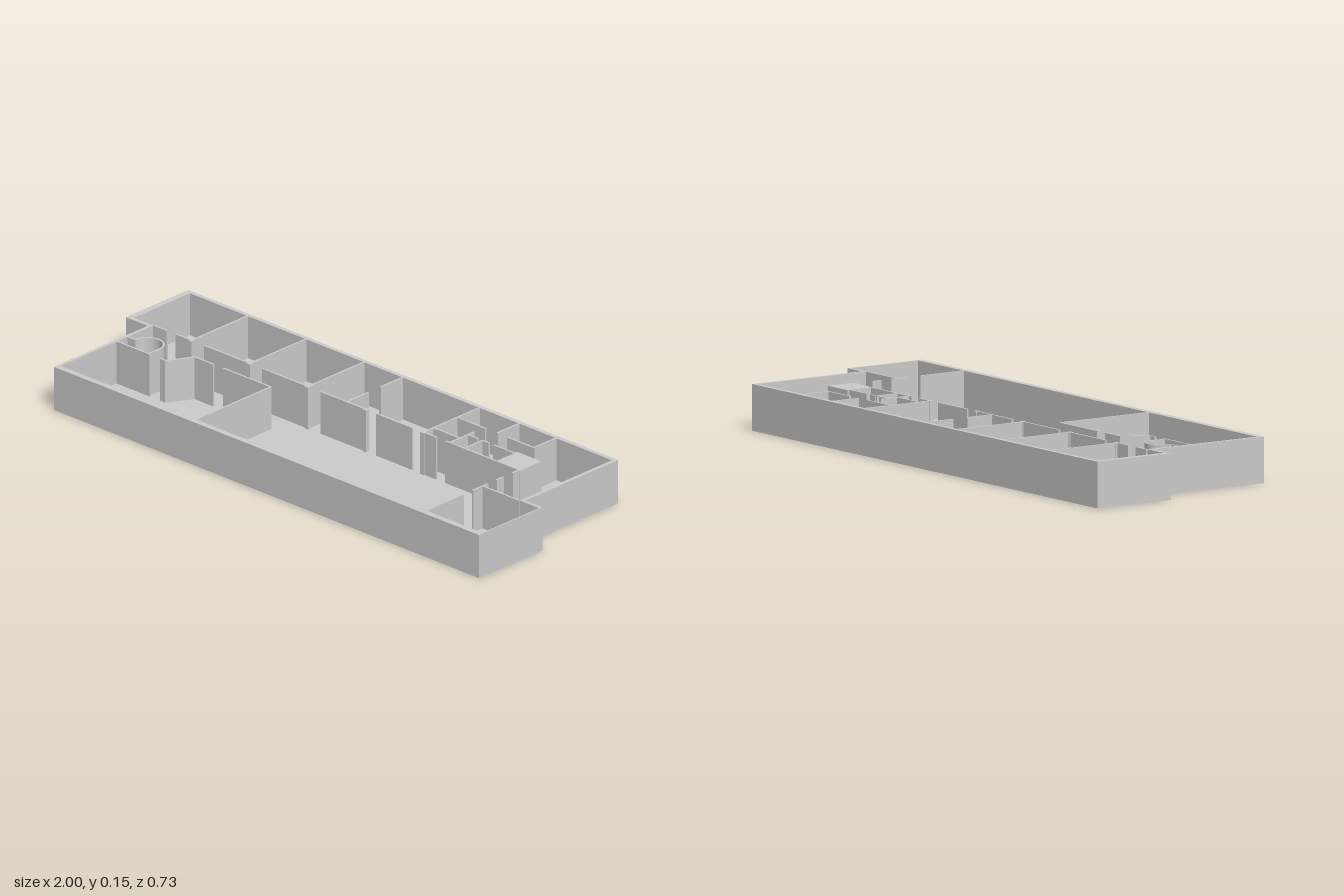
import * as THREE from 'three';

const HEIGHT = 0.153;
const FLOOR = 0.004;
const THICK = 0.007;
const mat = new THREE.MeshStandardMaterial({ color: 0xcccccc, flatShading: true });

// Footprint corners as [x, z]; the inner loop runs the opposite way round
const outer = [[-1, -0.368], [0.923, -0.368], [0.923, 0.068], [1, 0.068], [1, 0.366],
  [-0.902, 0.366], [-0.902, -0.075], [-1, -0.075]];
const inner = [[-0.978, -0.09], [-0.89, -0.09], [-0.89, 0.345], [0.995, 0.345],
  [0.995, 0.08], [0.909, 0.08], [0.909, -0.353], [-0.978, -0.353]];

const toPoints = (pts) => pts.map(([x, z]) => new THREE.Vector2(x, -z));

// Extrude a plan shape upwards from y0 to y1
function slab(name, shape, y0, y1) {
  const geo = new THREE.ExtrudeGeometry(shape, { depth: y1 - y0, bevelEnabled: false, curveSegments: 12 });
  geo.rotateX(-Math.PI / 2);
  geo.translate(0, y0, 0);
  const mesh = new THREE.Mesh(geo, mat);
  mesh.name = name;
  return mesh;
}

// Upright box standing on the floor, centred on x, z
function block(name, x, z, w, d) {
  const h = HEIGHT - FLOOR;
  const mesh = new THREE.Mesh(new THREE.BoxGeometry(w, h, d), mat);
  mesh.position.set(x, FLOOR + h / 2, z);
  mesh.name = name;
  return mesh;
}

// Straight thin wall between two plan points
function wall(name, x1, z1, x2, z2) {
  const mesh = block(name, (x1 + x2) / 2, (z1 + z2) / 2, Math.hypot(x2 - x1, z2 - z1), THICK);
  mesh.rotation.y = -Math.atan2(z2 - z1, x2 - x1);
  return mesh;
}

export function createModel() {
  const model = new THREE.Group();
  model.name = 'floorPlan';

  // Floor and outer walls
  model.add(slab('floor', new THREE.Shape(toPoints(outer)), 0, FLOOR));
  const ring = new THREE.Shape(toPoints(outer));
  ring.holes.push(new THREE.Path(toPoints(inner)));
  model.add(slab('outerWall', ring, FLOOR, HEIGHT));

  const addWalls = (name, list) => {
    const group = new THREE.Group();
    group.name = name;
    list.forEach((w) => group.add(wall(name + 'Panel', ...w)));
    model.add(group);
  };

  // Corridor wall, broken by doorways
  const corridorZ = -0.092;
  addWalls('corridorWall', [[-0.89, -0.83], [-0.79, -0.722], [-0.664, -0.461], [-0.403, -0.201],
    [-0.142, 0.059], [0.107, 0.268], [0.315, 0.375], [0.415, 0.642]]
    .map(([a, b]) => [a, corridorZ, b, corridorZ]));

  // Partitions between the back rooms
  addWalls('backPartition', [
    ...[-0.722, -0.461, -0.201, 0.315].map((x) => [x, -0.353, x, corridorZ]),
    [-0.028, -0.353, -0.028, -0.248], [-0.028, -0.193, -0.028, corridorZ],
  ]);

  // Posts along the corridor
  [-0.722, -0.461, -0.201, 0.058, 0.316].forEach((x) =>
    model.add(block('corridorPost', x, corridorZ, 0.016, 0.016)));

  // Small service rooms
  addWalls('serviceRoomWall', [
    [0.315, -0.251, 0.443, -0.251], [0.54, -0.251, 0.661, -0.251],
    [0.493, -0.353, 0.493, -0.251], [0.658, -0.353, 0.658, -0.251],
    [0.433, -0.207, 0.433, corridorZ], [0.315, -0.139, 0.433, -0.139],
    [0.433, -0.177, 0.478, -0.177], [0.498, -0.177, 0.528, -0.177], [0.548, -0.177, 0.643, -0.177],
    [0.498, -0.177, 0.498, corridorZ],
  ]);
  model.add(block('solidCore', 0.696, -0.139, 0.108, 0.1));

  // End wall and the room behind it
  addWalls('endWall', [
    ...[[-0.092, -0.06], [-0.018, 0.017], [0.057, 0.127], [0.172, 0.345]].map(([a, b]) => [0.743, a, 0.743, b]),
    [0.743, 0.08, 0.909, 0.08],
  ]);

  // Front room with an angled corner
  addWalls('frontRoomWall', [
    [-0.89, 0.08, -0.743, 0.08], [-0.697, 0.08, -0.673, 0.08], [-0.673, 0.08, -0.625, -0.006],
    [-0.625, -0.006, -0.54, -0.006], [-0.497, -0.006, -0.286, -0.006], [-0.286, -0.006, -0.286, 0.345],
  ]);

  // Rounded closet
  const cx = -0.804, cz = 0.03, r = 0.057;
  const arc = new THREE.Shape();
  arc.absarc(cx, -cz, r, 0, Math.PI, false);
  arc.absarc(cx, -cz, r - THICK, Math.PI, 0, true);
  arc.closePath();
  model.add(slab('curvedClosetWall', arc, FLOOR, HEIGHT));
  addWalls('closetWall', [
    [cx + r - THICK / 2, cz, cx + r - THICK / 2, 0.08],
    [-0.89, cz, cx - r + THICK, cz],
  ]);

  return model;
}
